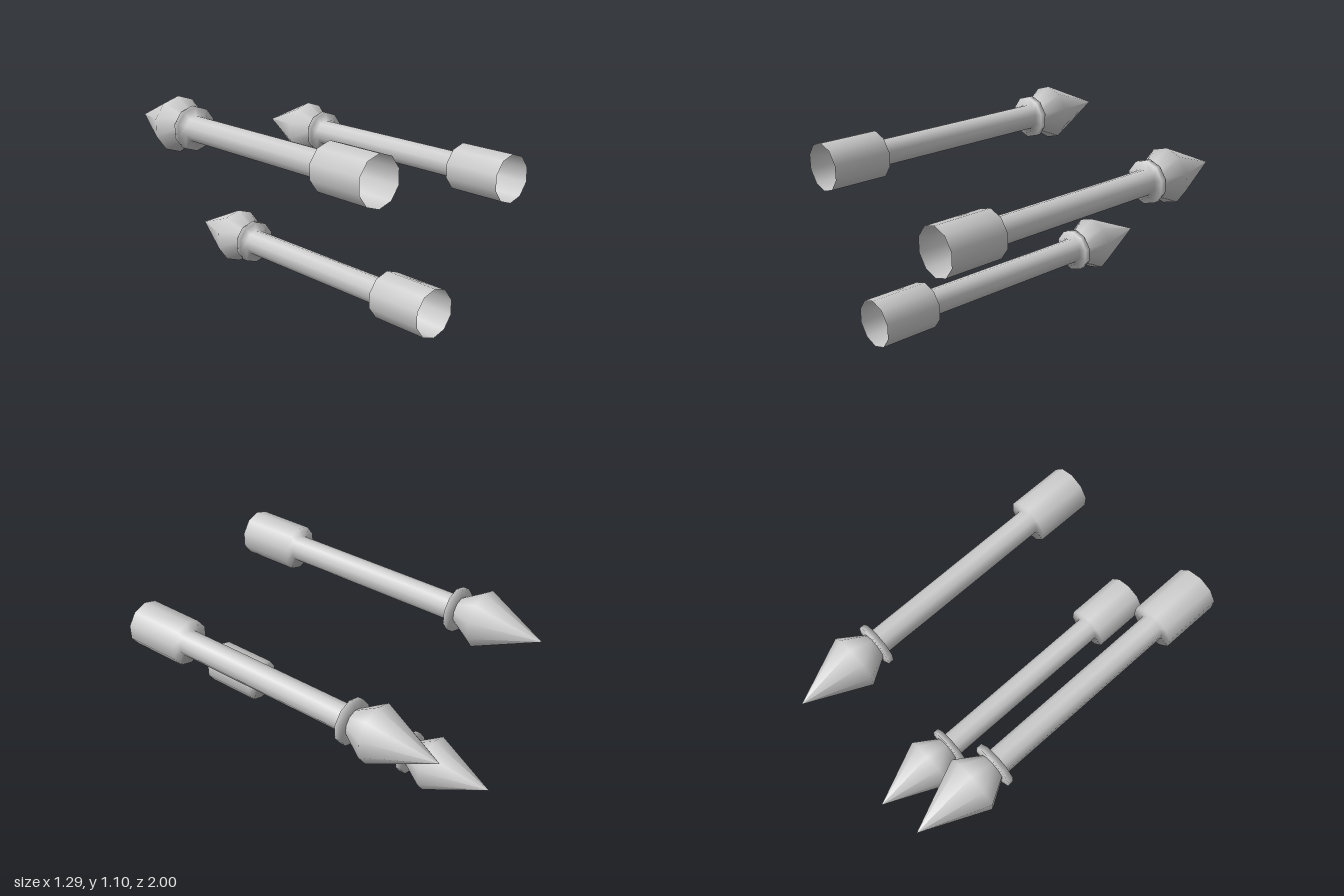
import * as THREE from 'three';

const SIDES = 10;
const material = new THREE.MeshStandardMaterial({ color: 0xcccccc, side: THREE.DoubleSide });

// Hollow ten-sided part turned around z; profile points are [radius, z]
function turned(name, profile) {
  const points = profile.map(([r, z]) => new THREE.Vector2(r, z));
  const geometry = new THREE.LatheGeometry(points, SIDES);
  geometry.rotateX(Math.PI / 2);
  const mesh = new THREE.Mesh(geometry, material);
  mesh.name = name;
  return mesh;
}

function createBolt() {
  const bolt = new THREE.Group();
  bolt.name = 'bolt';
  bolt.add(
    // Pointed head, open where it meets the collar
    turned('head', [[0, -1], [0.164, -0.63], [0.077, -0.49]]),
    // Thin collar, hollow shaft and open rear socket in one smooth skin
    turned('shaftWithCollarAndSocket', [
      [0.077, -0.493], [0.127, -0.493], [0.127, -0.458], [0.075, -0.458],
      [0.075, 0.66], [0.134, 0.66], [0.134, 1],
    ]),
  );
  return bolt;
}

export function createModel() {
  const model = new THREE.Group();
  model.name = 'bolts';
  // Three parallel bolts at different heights
  for (const [x, y] of [[-0.49, 0.935], [0.49, 0.767], [-0.08, 0.165]]) {
    const bolt = createBolt();
    bolt.position.set(x, y, 0);
    model.add(bolt);
  }
  return model;
}
